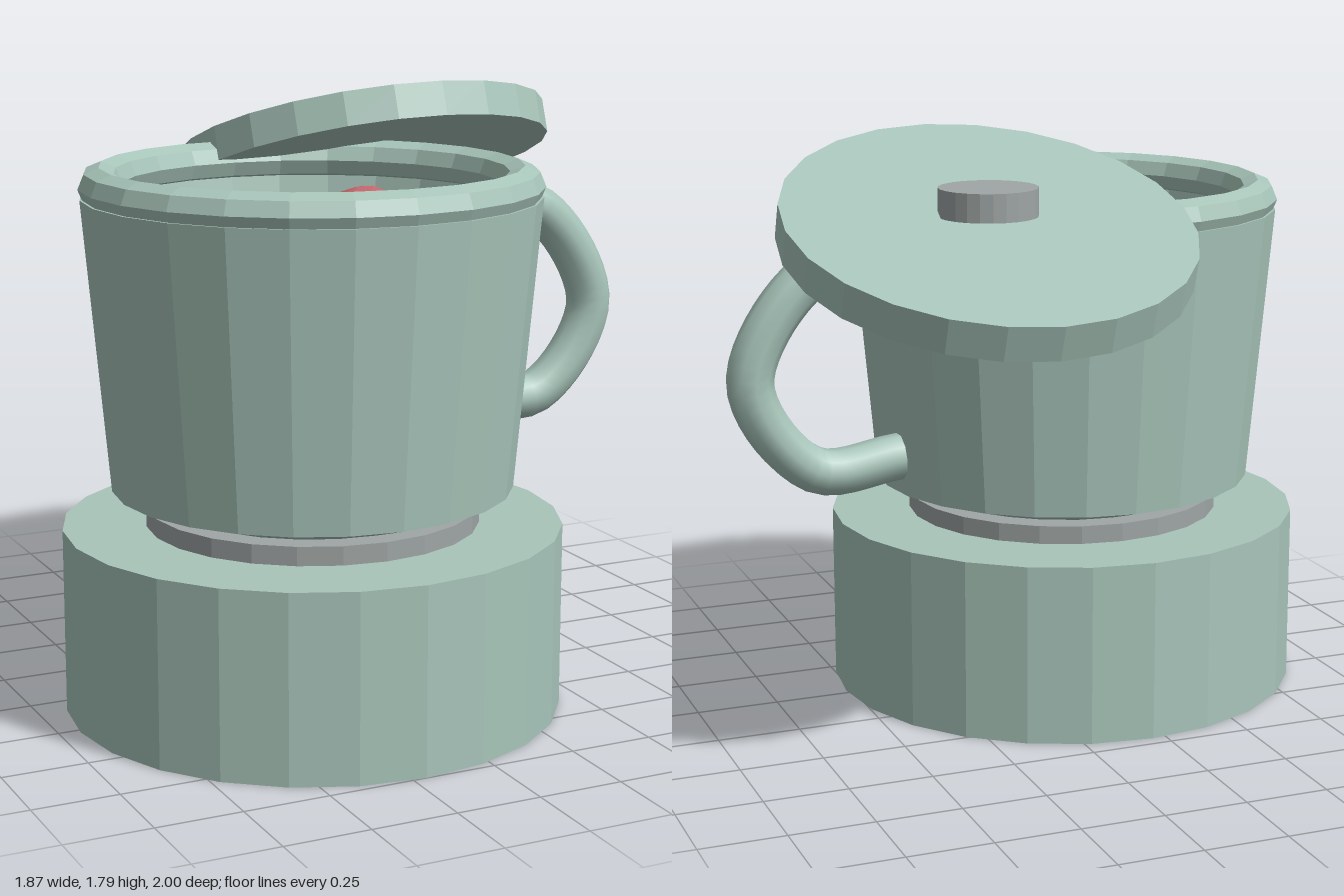
import * as THREE from 'three';

const SIDES = 24;
const V = (x, y, z) => new THREE.Vector3(x, y, z);

const material = (color, flatShading = true) =>
  new THREE.MeshStandardMaterial({ color, flatShading, side: THREE.DoubleSide });

export function createModel() {
  const model = new THREE.Group();
  const sage = material(0xa8c5ba);
  const grey = material(0x9fa6a5);
  const pink = material(0xd58a90);
  const red = material(0xc4666e);

  const add = (name, geometry, mat, x = 0, y = 0, z = 0, parent = model) => {
    const mesh = new THREE.Mesh(geometry, mat);
    mesh.name = name;
    mesh.position.set(x, y, z);
    parent.add(mesh);
    return mesh;
  };
  const disc = (radius, height) => new THREE.CylinderGeometry(radius, radius, height, SIDES);

  // Everything that shares the axis of the pot
  const pot = new THREE.Group();
  pot.name = 'pot';
  pot.position.set(-0.21, 0, 0.27);
  model.add(pot);

  // Heavy base and the collar the cup sits on
  add('base', disc(0.73, 0.545), sage, 0, 0.2725, 0, pot);
  add('collar', disc(0.487, 0.06), grey, 0, 0.57, 0, pot);

  // Hollow cup: outer wall up, inner wall back down to the floor
  const profile = [
    [0, 0.6], [0.415, 0.6], [0.585, 0.655], [0.66, 1.5],
    [0.58, 1.5], [0.545, 1.3], [0.5, 0.7], [0, 0.7],
  ].map(([r, y]) => new THREE.Vector2(r, y));
  add('cup', new THREE.LatheGeometry(profile, SIDES), sage, 0, 0, 0, pot);

  const rim = add('rim', new THREE.TorusGeometry(0.605, 0.06, 8, SIDES), sage, 0, 1.53, 0, pot);
  rim.rotation.x = -Math.PI / 2;

  // Filling: a shallow dome
  const filling = add('filling', new THREE.SphereGeometry(0.545, SIDES, 8), pink, 0, 1.31, 0, pot);
  filling.scale.y = 0.09 / 0.545;

  // Berries half sunk in the filling
  for (const [x, z] of [[-0.455, 0.335], [-0.15, 0.556], [0.06, 0.065]]) {
    add('berry', new THREE.IcosahedronGeometry(0.136, 2), red, x, 1.35, z);
  }

  // Pale strand lying across the filling
  const strand = new THREE.CatmullRomCurve3([
    V(-0.59, 1.38, 0.26), V(-0.38, 1.39, -0.06), V(-0.2, 1.4, -0.145),
    V(0.02, 1.4, 0.04), V(0.15, 1.39, 0.25),
  ]);
  add('strand', new THREE.TubeGeometry(strand, 32, 0.03, 8), material(0xf0e6d6, false));

  // Handle on the cup's left side
  const grip = new THREE.CatmullRomCurve3([
    V(0.41, 1.375, 0), V(0.66, 1.385, 0), V(0.865, 1.07, 0),
    V(0.68, 0.795, 0), V(0.41, 0.81, 0),
  ]);
  add('handle', new THREE.TubeGeometry(grip, 32, 0.07, 10), material(0xa8c5ba, false), 0, 0, 0.03);

  // Lid set aside at a slant, with its level knob
  const lid = add('lid', disc(0.585, 0.105), sage, 0.297, 1.54, -0.43);
  lid.rotation.x = -0.35;
  add('lidKnob', disc(0.14, 0.08), grey, 0.297, 1.634, -0.43);

  return model;
}
